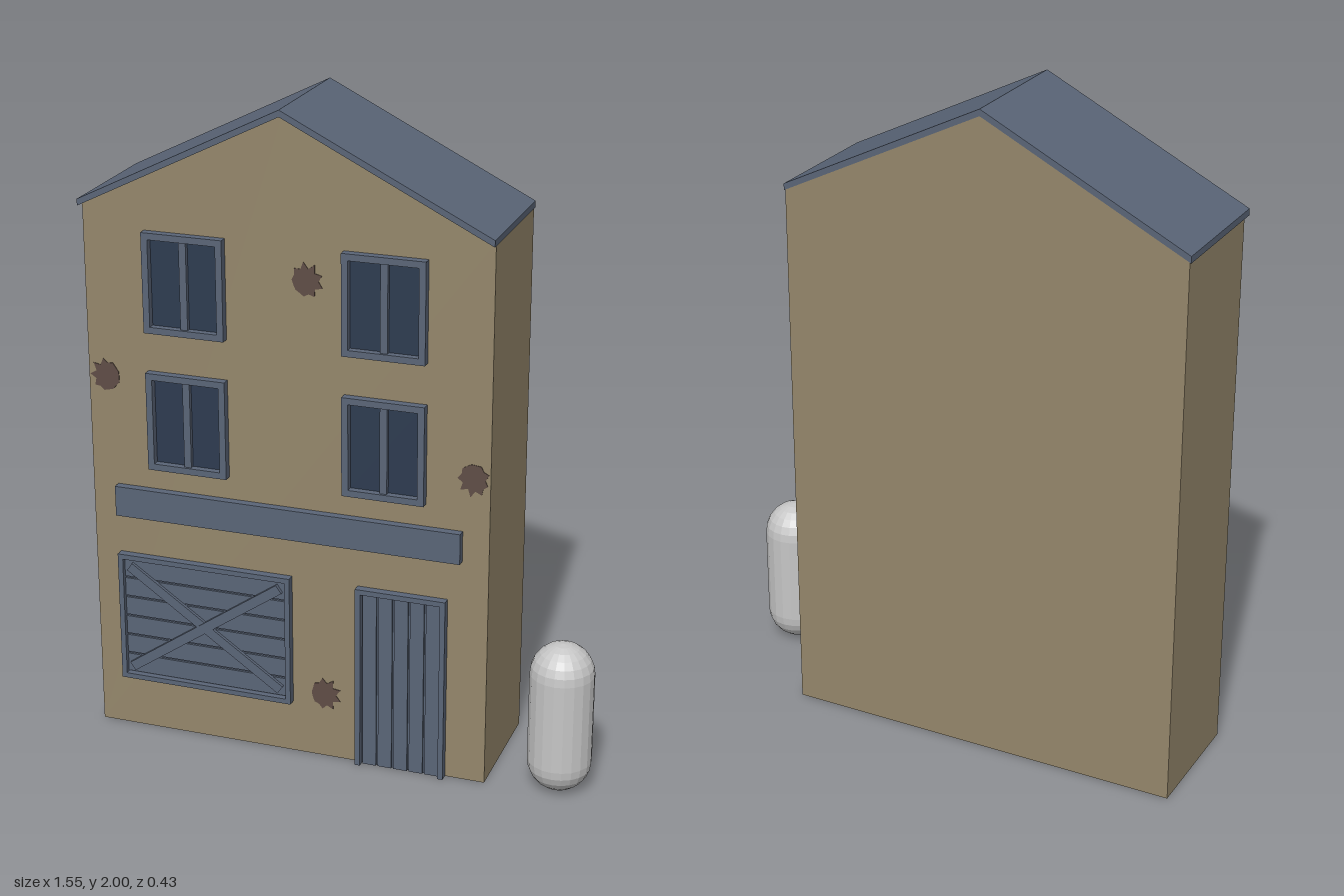
import * as THREE from 'three';

const mat = (name, color, extra = {}) => {
  const m = new THREE.MeshStandardMaterial({ color, ...extra });
  m.name = name;
  return m;
};

export function createModel() {
  const wall = mat('plaster', 0x95876b);
  const slate = mat('slateTrim', 0x5a6577);
  const glass = mat('darkGlass', 0x2d3b50);
  const stain = mat('stain', 0x5f4d46);
  const grey = mat('lightGrey', 0xc6c6c6, { flatShading: true });

  const house = new THREE.Group();
  house.name = 'house';
  const FRONT = 0.174, BACK = -0.215, TRIM = 0.2;
  const L = -0.775, R = 0.465, MID = -0.155;

  const add = (name, geo, material, parent = house) => {
    const m = new THREE.Mesh(geo, material);
    m.name = name;
    parent.add(m);
    return m;
  };
  // Box given by its limits
  const box = (name, x0, x1, y0, y1, z0, z1, material, parent) => {
    const m = add(name, new THREE.BoxGeometry(x1 - x0, y1 - y0, z1 - z0), material, parent);
    m.position.set((x0 + x1) / 2, (y0 + y1) / 2, (z0 + z1) / 2);
    return m;
  };
  const poly = pts => pts.map(p => new THREE.Vector2(...p));
  const extrude = (name, shape, z0, z1, material, parent) => {
    const geo = new THREE.ExtrudeGeometry(shape, { depth: z1 - z0, bevelEnabled: false });
    return add(name, geo.translate(0, 0, z0), material, parent);
  };
  const rect = (x0, x1, y0, y1) => poly([[x0, y0], [x1, y0], [x1, y1], [x0, y1]]);
  // Rectangular frame with a hole
  const frame = (x0, x1, y0, y1, w, parent) => {
    const s = new THREE.Shape(rect(x0, x1, y0, y1));
    s.holes.push(new THREE.Path(rect(x0 + w, x1 - w, y0 + w, y1 - w).reverse()));
    return extrude('frame', s, FRONT, TRIM, slate, parent);
  };
  const group = name => {
    const g = new THREE.Group();
    g.name = name;
    house.add(g);
    return g;
  };

  // Gabled body and the thin roof over it
  extrude('walls', new THREE.Shape(poly([[L, 0], [R, 0], [R, 1.675], [MID, 1.982], [L, 1.675]])),
    BACK, FRONT, wall);
  extrude('roof', new THREE.Shape(poly([[L - 0.004, 1.67], [MID, 1.98], [R + 0.004, 1.67],
    [R + 0.004, 1.69], [MID, 2], [L - 0.004, 1.69]])), BACK - 0.001, TRIM, slate);

  // Upper windows
  for (const x0 of [-0.583, 0.025]) for (const y0 of [0.877, 1.305]) {
    const g = group('window');
    const x1 = x0 + 0.249, y1 = y0 + 0.304, c = (x0 + x1) / 2;
    frame(x0, x1, y0, y1, 0.02, g);
    box('glass', x0 + 0.02, x1 - 0.02, y0 + 0.02, y1 - 0.02, FRONT, 0.178, glass, g);
    box('mullion', c - 0.011, c + 0.011, y0 + 0.02, y1 - 0.02, FRONT, 0.192, slate, g);
  }

  // Blank sign board
  box('signBoard', -0.695, 0.385, 0.712, 0.807, FRONT, TRIM, slate);

  // Boarded shop window with crossed braces
  const shop = group('shopWindow');
  const sx0 = -0.695, sx1 = -0.14, sy0 = 0.168, sy1 = 0.585, w = 0.016;
  frame(sx0, sx1, sy0, sy1, w, shop);
  box('backing', sx0 + w, sx1 - w, sy0 + w, sy1 - w, FRONT, 0.178, slate, shop);
  const bh = (sy1 - sy0 - 2 * w) / 6;
  for (let i = 0; i < 6; i++) {
    const y = sy0 + w + i * bh;
    box('board', sx0 + w, sx1 - w, y + 0.003, y + bh - 0.003, FRONT, 0.185, slate, shop);
  }
  for (const s of [-1, 1]) {
    const brace = add('brace', new THREE.BoxGeometry(0.59, 0.03, 0.012), slate, shop);
    brace.position.set((sx0 + sx1) / 2, (sy0 + sy1) / 2, 0.19 + s * 0.001);
    brace.rotation.z = s * Math.atan2(0.34, 0.49);
  }

  // Plank door
  const door = group('door');
  const dx0 = 0.066, dx1 = 0.343, dy = 0.585;
  extrude('doorFrame', new THREE.Shape(poly([[dx0, 0], [dx0 + w, 0], [dx0 + w, dy - w],
    [dx1 - w, dy - w], [dx1 - w, 0], [dx1, 0], [dx1, dy], [dx0, dy]])), FRONT, TRIM, slate, door);
  box('backing', dx0 + w, dx1 - w, 0, dy - w, FRONT, 0.178, slate, door);
  const bw = (dx1 - dx0 - 2 * w) / 5;
  for (let i = 0; i < 5; i++) {
    const x = dx0 + w + i * bw;
    box('plank', x + 0.003, x + bw - 0.003, 0, dy - w, FRONT, 0.185, slate, door);
  }

  // Ragged stains on the plaster
  [[-0.087, 1.51], [-0.72, 1.15], [0.415, 0.972], [-0.037, 0.21]].forEach(([cx, cy], k) => {
    const pts = [];
    for (let i = 0; i < 18; i++) {
      const a = i / 18 * Math.PI * 2;
      const r = (i % 2 ? 0.051 : 0.04) + 0.005 * Math.sin(i * 2.7 + k * 1.9);
      pts.push([cx + r * Math.cos(a) * 0.93, cy + r * Math.sin(a)]);
    }
    extrude('stain', new THREE.Shape(poly(pts)), FRONT, FRONT + 0.002, stain);
  });

  // Rounded post beside the house
  const post = add('post', new THREE.CapsuleGeometry(0.096, 0.28, 6, 20), grey);
  post.position.set(0.679, 0.236, 0.12);

  return house;
}
